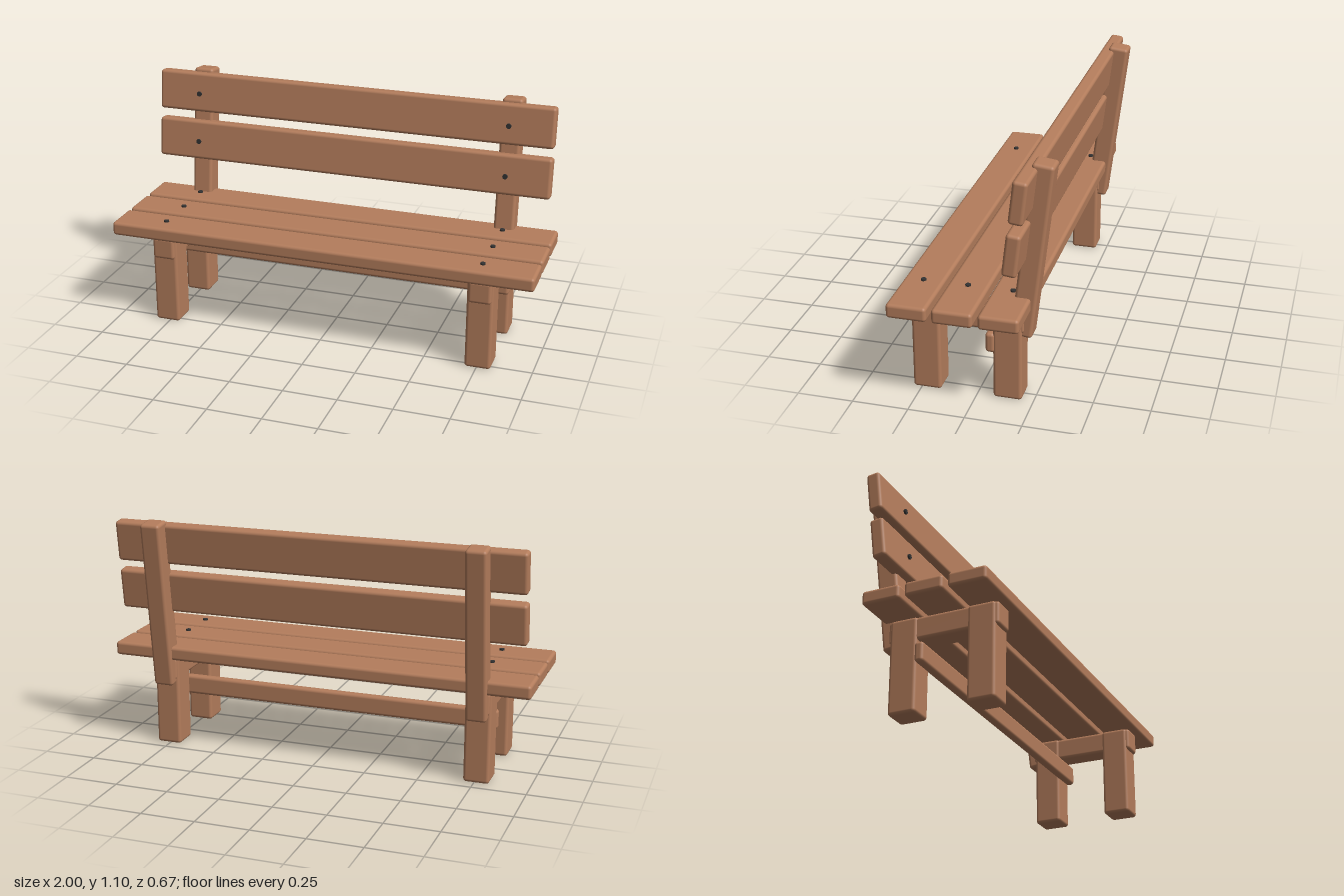
import * as THREE from 'three';
import { RoundedBoxGeometry } from 'three/addons/geometries/RoundedBoxGeometry.js';

export function createModel() {
  const bench = new THREE.Group();
  bench.name = 'bench';
  const wood = new THREE.MeshStandardMaterial({ color: 0xb47d5c });
  const metal = new THREE.MeshStandardMaterial({ color: 0x333333 });
  const tilt = -THREE.MathUtils.degToRad(6.8);
  const sideX = 0.757;

  // Timber with softened edges, optionally leaning back
  function timber(name, size, position, lean = 0, radius = 0.015) {
    const mesh = new THREE.Mesh(new RoundedBoxGeometry(...size, 3, radius), wood);
    mesh.name = name;
    mesh.position.set(...position);
    mesh.rotation.x = lean;
    bench.add(mesh);
  }

  // Small round bolt head facing up or forward
  function bolt(name, position, facingFront) {
    const mesh = new THREE.Mesh(new THREE.CylinderGeometry(0.012, 0.012, 0.008, 12), metal);
    mesh.name = name;
    mesh.position.set(...position);
    if (facingFront) mesh.rotation.x = Math.PI / 2;
    bench.add(mesh);
  }

  // Supports at each end: legs, seat rail and leaning back post
  for (const [side, s] of [['left', 1], ['right', -1]]) {
    const x = s * sideX - 0.002;
    timber(`${side}FrontLeg`, [0.12, 0.43, 0.127], [x, 0.215, 0.224]);
    timber(`${side}BackLeg`, [0.12, 0.43, 0.127], [x, 0.215, -0.136]);
    timber(`${side}SeatRail`, [0.106, 0.105, 0.512], [x, 0.377, 0.045]);
    timber(`${side}BackPost`, [0.096, 0.798, 0.095], [x, 0.703, -0.239], tilt);
  }

  // Long stretcher across the back legs
  timber('stretcher', [1.64, 0.092, 0.042], [-0.002, 0.265, -0.061]);

  // Seat planks with bolts
  for (const z of [0.246, 0.049, -0.149]) {
    timber('seatPlank', [2, 0.065, 0.175], [0, 0.462, z]);
    for (const s of [1, -1]) bolt('seatBolt', [s * sideX - 0.003, 0.498, z], false);
  }

  // Leaning backrest planks with bolts
  for (const [y, z, boltZ] of [[0.993, -0.222, -0.179], [0.76, -0.194, -0.151]]) {
    timber('backPlank', [1.932, 0.19, 0.064], [-0.003, y, z], tilt);
    for (const s of [1, -1]) bolt('backBolt', [s * sideX - 0.003, y, boltZ], true);
  }

  return bench;
}
